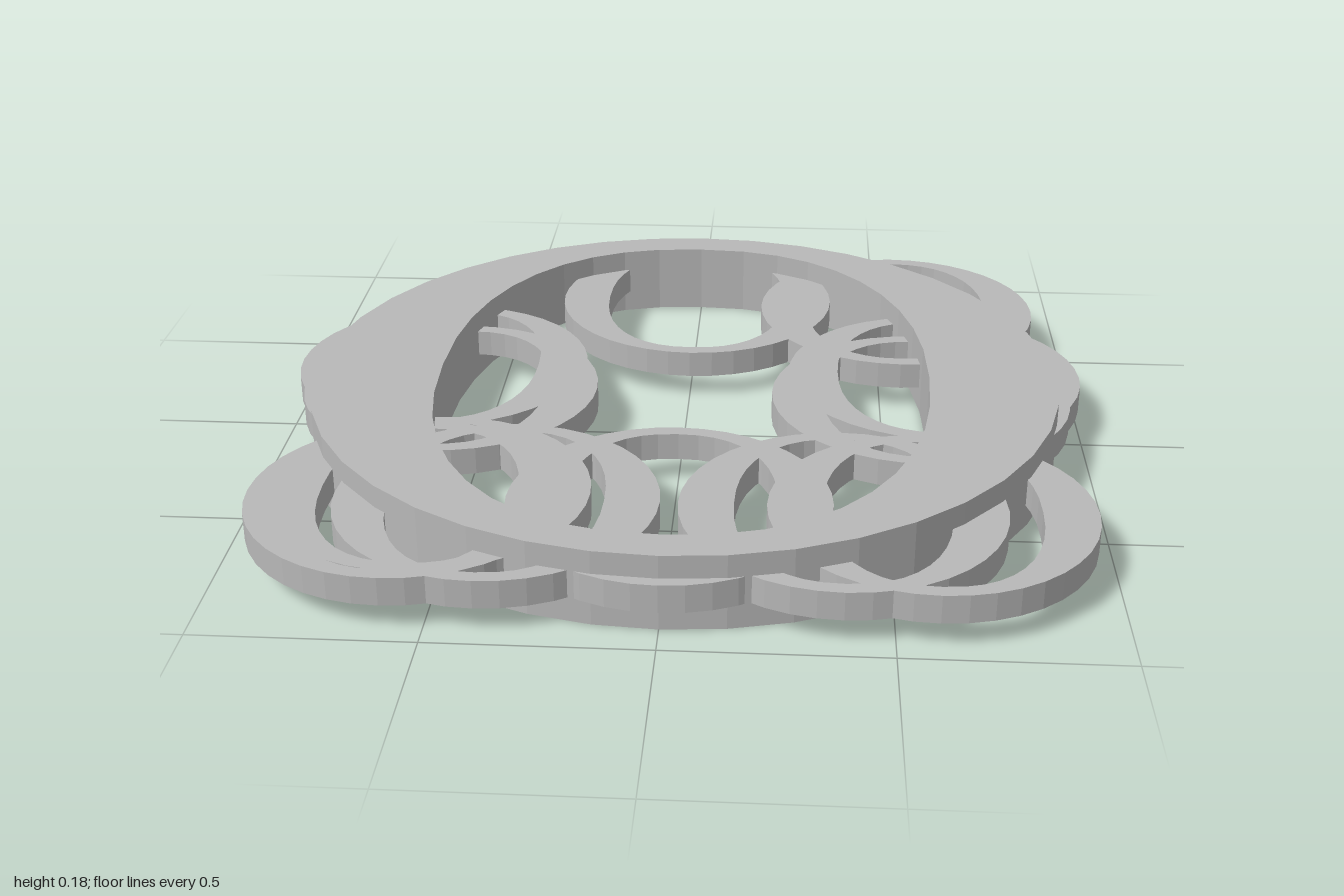
import * as THREE from 'three';

// Points of a rounded oval; power 2 is an ellipse, higher is squarer
function oval(rx, rz, power, segments) {
  const points = [];
  for (let i = 0; i < segments; i++) {
    const a = (i / segments) * Math.PI * 2;
    const c = Math.cos(a), s = Math.sin(a);
    points.push(new THREE.Vector2(
      rx * Math.sign(c) * Math.abs(c) ** (2 / power),
      rz * Math.sign(s) * Math.abs(s) ** (2 / power)
    ));
  }
  return points;
}

// Flat ring: round outside, narrow oval opening, lying on its back
function ringGeometry(size, height) {
  const shape = new THREE.Shape(oval(0.925 * size, 0.92 * size, 2, 40));
  shape.holes.push(new THREE.Path(oval(0.61 * size, 0.83 * size, 2.3, 40)));
  const geometry = new THREE.ExtrudeGeometry(shape, { depth: height, bevelEnabled: false });
  geometry.rotateX(-Math.PI / 2);
  return geometry;
}

export function createModel() {
  const model = new THREE.Group();
  const grey = new THREE.MeshStandardMaterial({ color: 0xb8b8b8, flatShading: true });
  grey.name = 'light grey';

  // Thick main ring
  const mainRing = new THREE.Mesh(ringGeometry(1, 0.18), grey);
  mainRing.name = 'mainRing';
  model.add(mainRing);

  // Small thin rings threaded through the middle of the main ring
  const centres = [
    [0, -0.595], [0, 0.58],
    [0.55, -0.555], [-0.55, 0.555],
  ];
  for (const side of [-1, 1]) {
    centres.push(
      [side * 0.63, -0.13], [side * 0.59, 0],
      [side * 0.59, 0.585], [side * 0.39, 0.585]
    );
  }
  const smallGeometry = ringGeometry(0.4, 0.067);
  const smallRings = new THREE.Group();
  smallRings.name = 'smallRings';
  centres.forEach(([x, z], i) => {
    const ring = new THREE.Mesh(smallGeometry, grey);
    ring.name = `smallRing${i + 1}`;
    ring.position.set(x, 0.058, z);
    smallRings.add(ring);
  });
  model.add(smallRings);
  return model;
}
